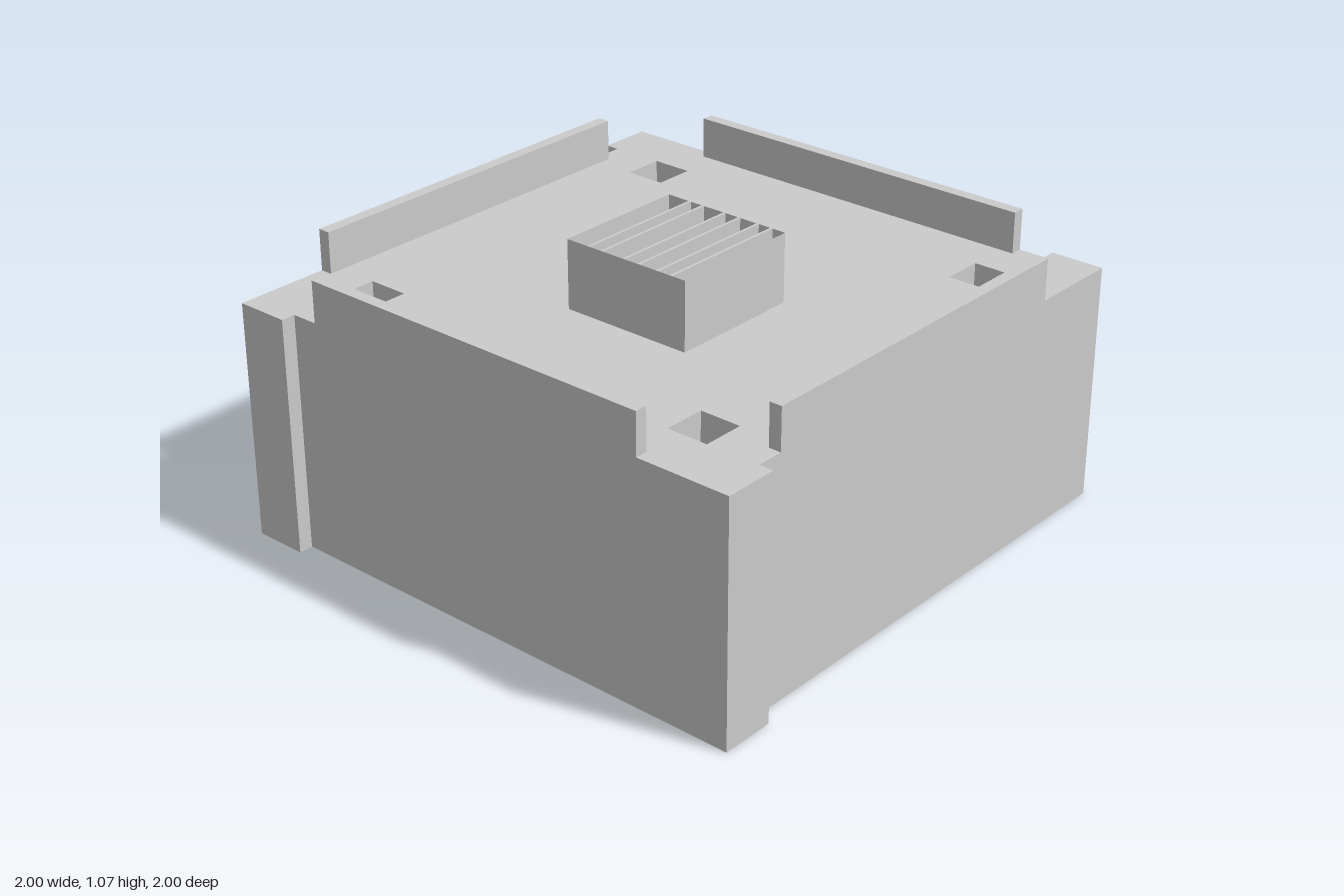
import * as THREE from 'three';

const mat = new THREE.MeshStandardMaterial({ color: 0xcccccc, flatShading: true });
const thinMat = new THREE.MeshStandardMaterial({ color: 0xcccccc, flatShading: true, side: THREE.DoubleSide });

const DECK = 0.835, GROOVE = 0.06;

function add(parent, name, geometry, x = 0, y = 0, z = 0, material = mat) {
  const mesh = new THREE.Mesh(geometry, material);
  mesh.name = name;
  mesh.position.set(x, y, z);
  parent.add(mesh);
  return mesh;
}

// Pinwheel outline with one corner tab per side, drilled by four square holes and one round hole
function plate() {
  const pts = [];
  for (let i = 0; i < 4; i++) {
    for (const [x, z] of [[0.95, 0.76], [1, 0.76], [1, 0.95]]) {
      const p = new THREE.Vector2(x, z);
      for (let k = 0; k < i; k++) p.set(-p.y, p.x);
      pts.push(p);
    }
  }
  const shape = new THREE.Shape(pts);
  for (const sx of [-1, 1]) for (const sz of [-1, 1]) {
    const cx = sx * 0.69, cz = sz * 0.69, h = 0.073;
    shape.holes.push(new THREE.Path([[-h, -h], [-h, h], [h, h], [h, -h]]
      .map(([x, z]) => new THREE.Vector2(cx + x, cz + z))));
  }
  shape.holes.push(new THREE.Path().absarc(0, 0, 0.057, 0, Math.PI * 2, true));
  return shape;
}

// Extrude a plan shape (x, z) downwards from the given height
function slab(shape, top, depth) {
  return new THREE.ExtrudeGeometry(shape, { depth, bevelEnabled: false, curveSegments: 16 })
    .rotateX(Math.PI / 2).translate(0, top, 0);
}

export function createModel() {
  const model = new THREE.Group();
  model.name = 'slottedCase';

  // Main body, with curved grooves cut into its underside layer
  add(model, 'body', slab(plate(), DECK, DECK - GROOVE));
  const base = plate();
  for (let i = 0; i < 4; i++) {
    const a = -0.75 * Math.PI + i * Math.PI / 2, b = a + Math.PI / 4;
    const groove = new THREE.Path();
    groove.absarc(0, 0, 0.517, a, b, false);
    groove.absarc(0, 0, 0.483, b, a, true);
    groove.closePath();
    base.holes.push(groove);
  }
  add(model, 'groovedBase', slab(base, GROOVE, GROOVE));

  // One raised rail along each side
  for (let i = 0; i < 4; i++) {
    const side = new THREE.Group();
    side.name = 'railSide';
    side.rotation.y = i * Math.PI / 2;
    add(side, 'rail', new THREE.BoxGeometry(1.33, 0.145, 0.043), 0, DECK + 0.0725, 0.9285);
    model.add(side);
  }

  // Open-topped box with thin walls and upright fins
  const finBox = new THREE.Group();
  finBox.name = 'finBox';
  const x0 = -0.143, x1 = 0.335, z0 = -0.117, z1 = 0.36, h = 1.073 - DECK;
  const cx = (x0 + x1) / 2, cz = (z0 + z1) / 2, w = x1 - x0, d = z1 - z0, y = DECK + h / 2;
  add(finBox, 'boxFloor', new THREE.PlaneGeometry(w, d).rotateX(-Math.PI / 2), cx, DECK + 0.002, cz, thinMat);
  for (const s of [-1, 1]) {
    add(finBox, 'endWall', new THREE.PlaneGeometry(w, h), cx, y, cz + s * d / 2, thinMat);
    add(finBox, 'sideWall', new THREE.PlaneGeometry(d, h).rotateY(Math.PI / 2), cx + s * w / 2, y, cz, thinMat);
  }
  for (const x of [-0.055, 0, 0.09, 0.15, 0.225, 0.28]) {
    add(finBox, 'fin', new THREE.BoxGeometry(0.01, h, d), x, y, cz);
  }
  model.add(finBox);

  return model;
}
